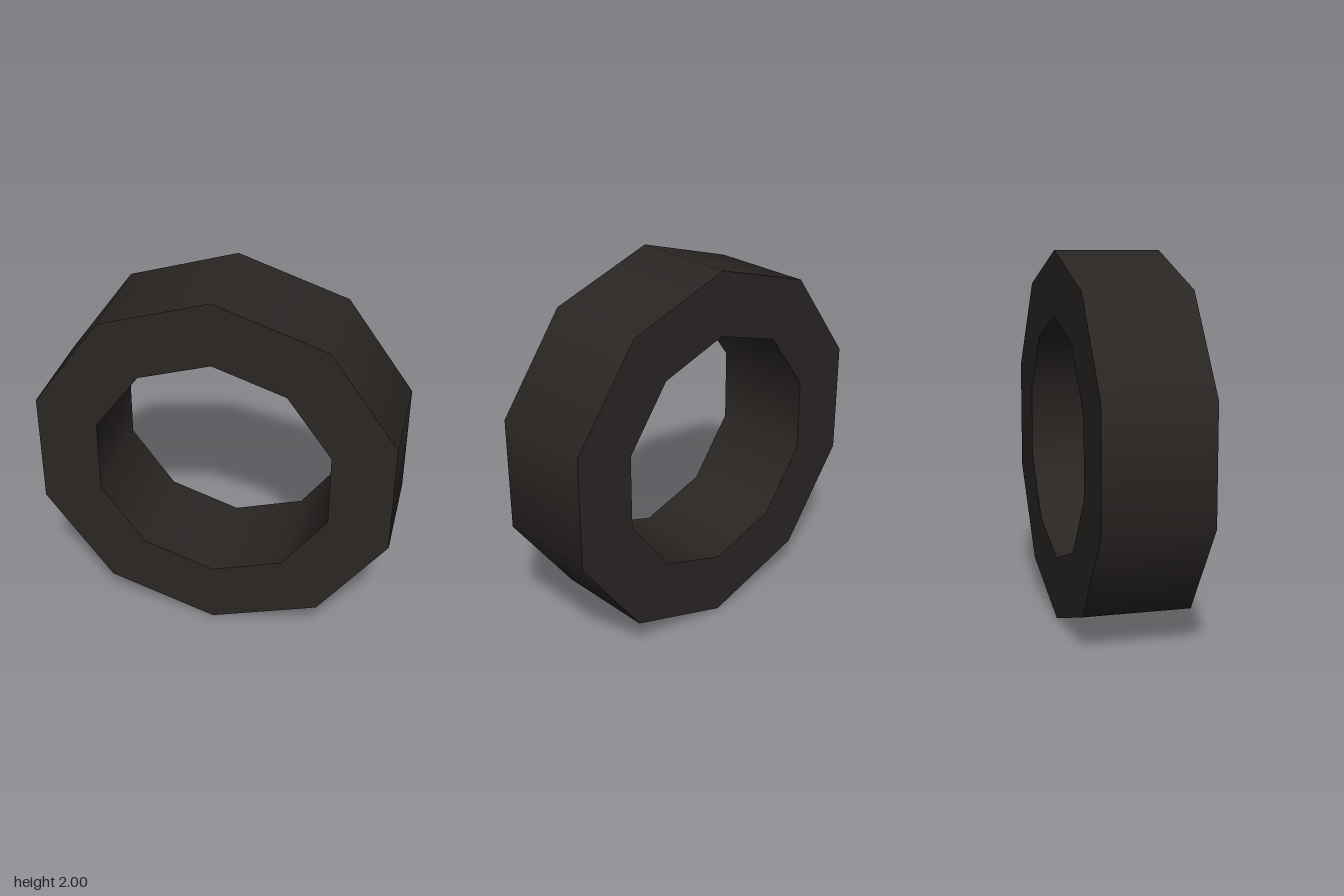
import * as THREE from 'three';
import { mergeGeometries } from 'three/addons/utils/BufferGeometryUtils.js';

const SIDES = 10;
const OUTER = 1;
const INNER = 0.655;
const HALF_WIDTH = 0.285;

export function createModel() {
  const group = new THREE.Group();
  group.name = 'wheelRing';

  // Rectangular section, each edge turned separately: smooth around, sharp at the rims
  const section = [
    new THREE.Vector2(OUTER, -HALF_WIDTH),
    new THREE.Vector2(OUTER, HALF_WIDTH),
    new THREE.Vector2(INNER, HALF_WIDTH),
    new THREE.Vector2(INNER, -HALF_WIDTH),
  ];
  const bands = section.map((point, i) =>
    new THREE.LatheGeometry([point, section[(i + 1) % section.length]], SIDES));

  // Stand the ring upright with its axis along z, a corner at the top and bottom
  const geometry = mergeGeometries(bands).rotateX(Math.PI / 2).translate(0, OUTER, 0);

  const rubber = new THREE.MeshStandardMaterial({ color: 0x2a2624 });
  const tire = new THREE.Mesh(geometry, rubber);
  tire.name = 'tire';
  group.add(tire);
  return group;
}
